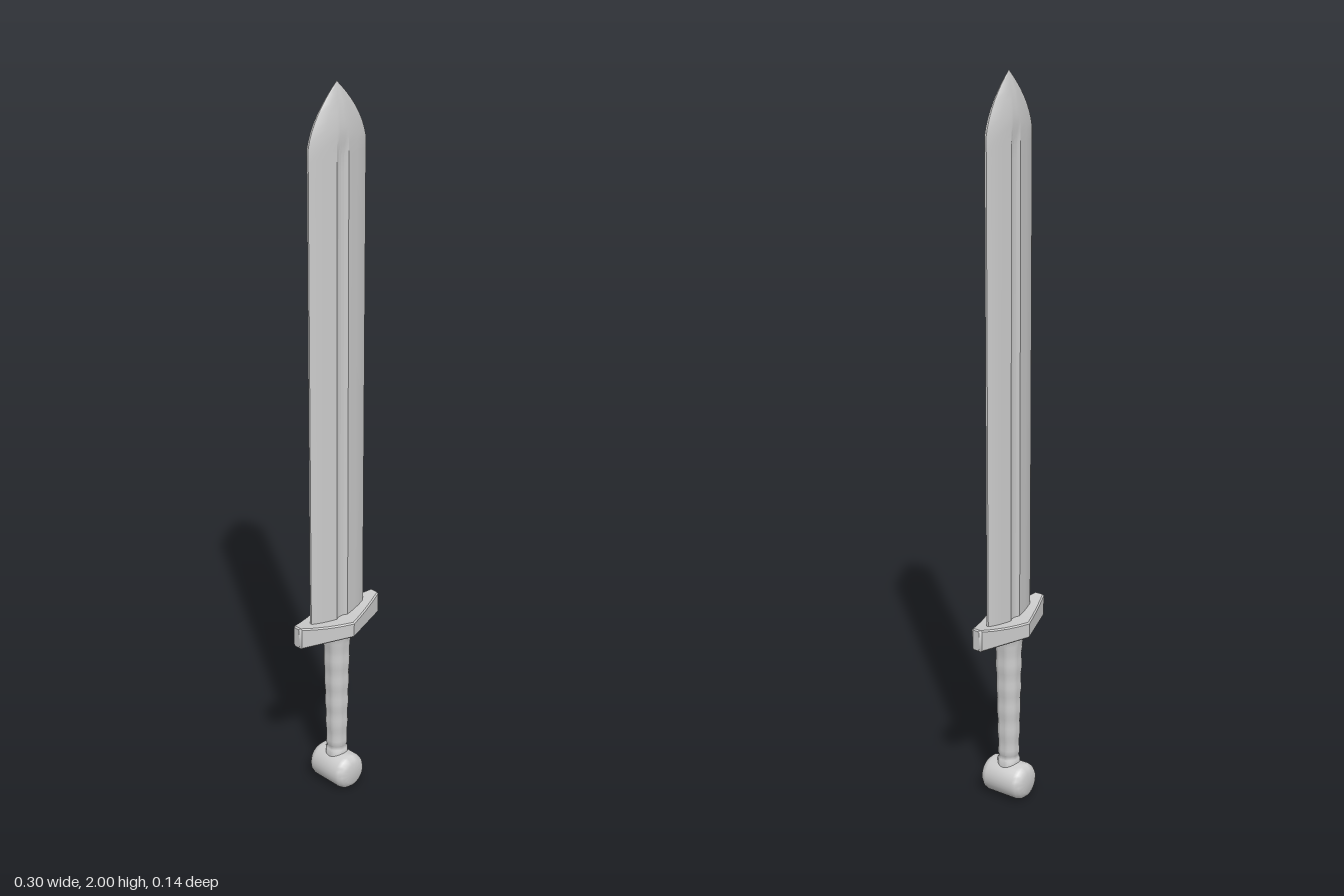
import * as THREE from 'three';
import { toCreasedNormals } from 'three/addons/utils/BufferGeometryUtils.js';

const steel = new THREE.MeshStandardMaterial({ color: 0xcccccc });
steel.name = 'light grey steel';

// Closed skin over a list of rings, each counter-clockwise seen from the end of the path
function loft(rings, crease) {
  const n = rings[0].length;
  const index = [];
  const points = rings.flat();
  rings.slice(1).forEach((_, r) => {
    for (let i = 0; i < n; i++) {
      const a = r * n + i, b = r * n + (i + 1) % n;
      index.push(a, b, b + n, a, b + n, a + n);
    }
  });
  // End caps fan out from the ring centres
  [rings[0], rings[rings.length - 1]].forEach((ring, end) => {
    const centre = ring.reduce((s, p) => s.add(p), new THREE.Vector3()).divideScalar(n);
    points.push(centre);
    const c = points.length - 1, base = end * (rings.length - 1) * n;
    for (let i = 0; i < n; i++) {
      const a = base + i, b = base + (i + 1) % n;
      if (end) index.push(c, a, b); else index.push(c, b, a);
    }
  });
  const geometry = new THREE.BufferGeometry().setFromPoints(points);
  geometry.setIndex(index);
  return toCreasedNormals(geometry, crease);
}

function part(name, geometry) {
  const mesh = new THREE.Mesh(geometry, steel);
  mesh.name = name;
  return mesh;
}

// Lens-shaped blade with a shallow central groove and a pointed arch tip
function bladeGeometry() {
  const levels = [0.52, 1.78, 1.82, 1.85, 1.87, 1.89, 1.91, 1.93, 1.95, 1.97, 1.985, 1.995, 2];
  return loft(levels.map((y) => {
    const t = Math.max(0, (y - 1.85) / 0.15);
    const w = Math.max(0.0006, 0.098 * (1 - 0.3 * t - 0.7 * t * t));
    const d = Math.max(0.0006, 0.022 * (1 - t * t));
    const groove = 0.007 * THREE.MathUtils.clamp((1.88 - y) / 0.06, 0, 1);
    const k = w / 0.098;
    const front = [
      [-w, d * 0.12], [-0.092 * k, d * 0.27], [-0.055 * k, d * 0.68], [-0.02 * k, d],
      [-0.009 * k, d - groove * 0.8], [0, d - groove],
      [0.009 * k, d - groove * 0.8], [0.02 * k, d], [0.055 * k, d * 0.68],
      [0.092 * k, d * 0.27], [w, d * 0.12],
    ];
    const ring = [...front, ...front.map(([x, z]) => [-x, -z])];
    return ring.map(([x, z]) => new THREE.Vector3(x, y, z));
  }), 0.4);
}

// Diamond-plan guard whose top sweeps up towards both ends
function guardGeometry() {
  const xs = [-0.15, -0.145, -0.11, -0.07, -0.035, 0, 0.035, 0.07, 0.11, 0.145, 0.15];
  return loft(xs.map((x) => {
    const u = Math.abs(x) / 0.15;
    const inset = u === 1 ? 0.004 : 0;
    const z = 0.068 - 0.054 * u - inset, b = 0.004;
    const top = 0.541 + 0.018 * u * u - inset, low = 0.495 + inset;
    return [
      [top, -z + b], [top, z - b], [top - b, z], [low + b, z],
      [low, z - b], [low, -z + b], [low + b, -z], [top - b, -z],
    ].map(([y, zz]) => new THREE.Vector3(x, y, zz)).map((p) => p);
  }), 0.5);
}

// Tapered grip with gentle finger swells and a collar at each end
function gripGeometry() {
  const profile = [
    [0.09, 0.031], [0.112, 0.031], [0.116, 0.028], [0.126, 0.028], [0.13, 0.03],
  ];
  for (let i = 1; i <= 24; i++) {
    const t = i / 24;
    profile.push([0.13 + 0.335 * t, 0.029 + 0.008 * t + 0.001 * Math.cos(t * Math.PI * 10)]);
  }
  profile.push([0.478, 0.039], [0.488, 0.042], [0.5, 0.042]);
  return loft(profile.map(([y, r]) => Array.from({ length: 24 }, (_, i) => {
    const a = i / 24 * Math.PI * 2;
    return new THREE.Vector3(Math.cos(a) * r, y, -Math.sin(a) * r);
  })), 0.7);
}

// Barrel pommel lying front to back, with chamfered rims
function pommelGeometry() {
  const profile = [
    [0, -0.068], [0.03, -0.068], [0.041, -0.063], [0.049, -0.054], [0.052, -0.044],
    [0.052, 0.044], [0.049, 0.054], [0.041, 0.063], [0.03, 0.068], [0, 0.068],
  ].map(([r, h]) => new THREE.Vector2(r, h));
  const geometry = new THREE.LatheGeometry(profile, 32);
  geometry.rotateX(Math.PI / 2);
  geometry.translate(0, 0.052, 0);
  return toCreasedNormals(geometry, 0.55);
}

export function createModel() {
  const sword = new THREE.Group();
  sword.name = 'sword';
  sword.add(
    part('blade', bladeGeometry()),
    part('guard', guardGeometry()),
    part('grip', gripGeometry()),
    part('pommel', pommelGeometry()),
  );
  return sword;
}
